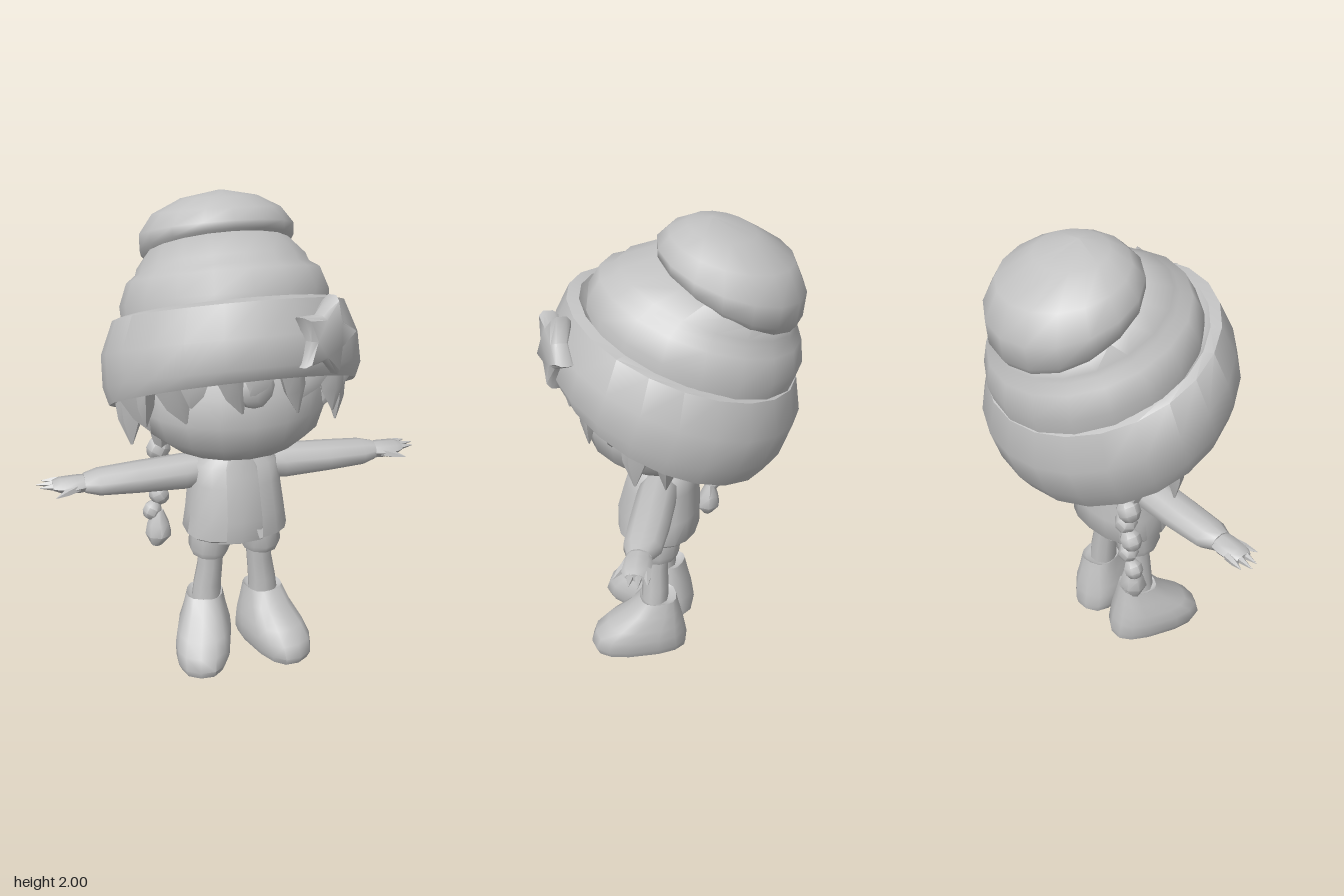
import * as THREE from 'three';
import { toCreasedNormals } from 'three/addons/utils/BufferGeometryUtils.js';

const V = (x, y, z) => new THREE.Vector3(x, y, z);

// Skin through rings {c, u, v}: centre and two half axes, with u x v along the path.
function loft(rings, n = 14, { start = 0, sweep = Math.PI * 2, caps = true, power = 1 } = {}) {
  const pos = [], idx = [];
  const closed = sweep > 6.28;
  const cols = closed ? n : n + 1;
  const round = (t) => Math.sign(t) * Math.abs(t) ** power;
  for (const { c, u, v } of rings) {
    for (let j = 0; j < cols; j++) {
      const a = start + (sweep * j) / n;
      const p = c.clone().addScaledVector(u, round(Math.cos(a))).addScaledVector(v, round(Math.sin(a)));
      pos.push(p.x, p.y, p.z);
    }
  }
  for (let i = 0; i < rings.length - 1; i++) {
    for (let j = 0; j < n; j++) {
      const k = (j + 1) % cols;
      const a = i * cols + j, b = i * cols + k, c = b + cols, d = a + cols;
      idx.push(a, b, c, a, c, d);
    }
  }
  if (caps && closed) {
    const last = rings.length - 1, m = pos.length / 3;
    for (const i of [0, last]) pos.push(...rings[i].c.toArray());
    for (let j = 0; j < n; j++) {
      const k = (j + 1) % n;
      idx.push(m, k, j, m + 1, last * cols + j, last * cols + k);
    }
  }
  const g = new THREE.BufferGeometry();
  g.setAttribute('position', new THREE.Float32BufferAttribute(pos, 3));
  g.setIndex(idx);
  return g;
}

// Ring from its front point, back point (z, y), half width and x centre.
const ring = (fz, fy, bz, by, rx, x = 0) => ({
  c: V(x, (fy + by) / 2, (fz + bz) / 2),
  u: V(0, (fy - by) / 2, (fz - bz) / 2),
  v: V(rx, 0, 0),
});
const level = (y, fz, bz, rx, x = 0) => ring(fz, y, bz, y, rx, x);
// Ring across the x axis, for arms.
const armRing = (x, y, z, ry, rz) => ({ c: V(x, y, z), u: V(0, ry, 0), v: V(0, 0, rz) });

// Tapered lock or finger between two points.
function spike(base, tip, r, sides = 5, flat = 0.6) {
  const dir = tip.clone().sub(base);
  const g = new THREE.CylinderGeometry(r * 0.08, r, dir.length(), sides, 2);
  const p = g.attributes.position;
  for (let i = 0; i < p.count; i++) {
    if (Math.abs(p.getY(i)) < 1e-4) p.setXYZ(i, p.getX(i) * 1.45, 0, p.getZ(i) * 1.45);
  }
  g.scale(1, 1, flat);
  g.applyQuaternion(new THREE.Quaternion().setFromUnitVectors(V(0, 1, 0), dir.clone().normalize()));
  const mid = base.clone().add(tip).multiplyScalar(0.5);
  return g.translate(mid.x, mid.y, mid.z);
}

function mirrored(geo) {
  const g = geo.clone().scale(-1, 1, 1);
  g.setIndex(Array.from(g.index.array).reverse());
  return g;
}

export function createModel() {
  const model = new THREE.Group();
  const clay = new THREE.MeshStandardMaterial({ color: 0xc2c2c2, side: THREE.DoubleSide });
  clay.name = 'light grey';
  const add = (name, geo, crease = 0.95) => {
    const m = new THREE.Mesh(toCreasedNormals(geo, crease), clay);
    m.name = name;
    model.add(m);
    return m;
  };
  const pair = (name, geo) => {
    add('left' + name, geo);
    add('right' + name, mirrored(geo));
  };

  // Hat: turned-up brim, folded crown and rounded top
  add('hatBrim', loft([
    ring(0.36, 1.5, -0.3, 1.12, 0.38),
    ring(0.43, 1.41, -0.36, 1.01, 0.46),
    ring(0.49, 1.41, -0.4, 0.98, 0.515),
    ring(0.52, 1.47, -0.46, 1.06, 0.535),
    ring(0.49, 1.58, -0.51, 1.2, 0.53),
    ring(0.43, 1.7, -0.49, 1.35, 0.475),
    ring(0.38, 1.7, -0.46, 1.36, 0.44),
    ring(0.35, 1.65, -0.44, 1.33, 0.41),
  ], 22));
  add('hatCrown', loft([
    ring(0.36, 1.64, -0.47, 1.3, 0.43),
    ring(0.35, 1.71, -0.51, 1.42, 0.435),
    ring(0.3, 1.79, -0.5, 1.52, 0.4),
    ring(0.25, 1.8, -0.48, 1.56, 0.36),
    ring(0.22, 1.83, -0.48, 1.58, 0.35),
    ring(0.08, 1.88, -0.46, 1.62, 0.3),
  ], 18));
  add('hatTop', loft([
    ring(0.03, 1.85, -0.46, 1.57, 0.28),
    ring(0.075, 1.89, -0.5, 1.62, 0.325),
    ring(0.075, 1.92, -0.51, 1.72, 0.325),
    ring(0.03, 1.96, -0.46, 1.84, 0.27),
    ring(-0.04, 1.99, -0.31, 1.94, 0.16),
    ring(-0.13, 2.0, -0.15, 1.998, 0.01),
  ], 16), 1.2);

  // Star ornament on the brim
  const star = new THREE.Shape();
  for (let i = 0; i < 10; i++) {
    const r = i % 2 ? 0.075 : 0.14, a = (i * Math.PI) / 5 + 0.3;
    star[i ? 'lineTo' : 'moveTo'](Math.sin(a) * r, Math.cos(a) * r);
  }
  const ornament = add('hatStar', new THREE.ExtrudeGeometry(star, {
    depth: 0.04, bevelThickness: 0.02, bevelSize: 0.015, bevelSegments: 1,
  }).translate(0, 0, -0.02));
  ornament.position.set(0.25, 1.54, 0.435);
  ornament.rotation.set(-0.12, 0.5, 0);

  // Head and neck
  add('head', loft([
    level(0.965, 0.2, -0.14, 0.17),
    level(1.0, 0.3, -0.22, 0.28),
    level(1.07, 0.365, -0.28, 0.365),
    level(1.17, 0.385, -0.32, 0.4),
    level(1.28, 0.38, -0.33, 0.39),
    level(1.42, 0.31, -0.3, 0.32),
  ], 18), 1.3);
  add('neck', loft([level(0.88, 0.11, -0.03, 0.07), level(1.0, 0.11, -0.03, 0.07)], 8));

  // Fringe and side locks hanging from under the brim
  const lengths = [0.22, 0.2, 0.17, 0.19, 0.13, 0.18, 0.12, 0.2, 0.14, 0.19, 0.17, 0.21, 0.22];
  lengths.forEach((len, i) => {
    const a = (i / (lengths.length - 1) - 0.5) * 3.5;
    const s = Math.sin(a), c = Math.cos(a);
    const base = V(0.43 * s, 1.24 + 0.2 * c, 0.05 + 0.39 * c);
    const tip = V(0.39 * s + (i % 2 ? 0.05 : -0.04), base.y - len, 0.06 + 0.37 * c);
    add('hairLock', spike(base, tip, 0.068));
  });
  add('foreheadCurl', new THREE.SphereGeometry(0.08, 8, 6).scale(1, 1.1, 0.6).translate(-0.01, 1.35, 0.4));
  for (let i = 0; i < 5; i++) {
    const x = (i - 2) * 0.1;
    add('napeLock', spike(V(x, 1.08, -0.22), V(x * 0.7 - 0.02, 0.92 + 0.02 * (i % 2), -0.17), 0.06));
  }

  // Braid hanging on the right side
  add('braidRoot', spike(V(-0.3, 1.1, -0.08), V(-0.27, 0.83, -0.13), 0.05, 6, 1));
  for (let i = 0; i < 5; i++) {
    add('braidKnot', new THREE.SphereGeometry(0.06 - i * 0.003, 7, 5).scale(0.9, 1, 0.85)
      .rotateZ(i % 2 ? 0.5 : -0.5)
      .translate(-0.275 - 0.009 * i + (i % 2 ? 0.012 : -0.012), 0.9 - i * 0.075, -0.13));
  }
  add('braidTail', loft([
    level(0.435, -0.09, -0.13, 0.025, -0.31),
    level(0.49, -0.05, -0.17, 0.06, -0.3),
    level(0.54, -0.07, -0.16, 0.05, -0.3),
    level(0.6, -0.1, -0.14, 0.025, -0.3),
  ], 7));

  // Shirt and open jacket
  add('shirt', loft([
    level(0.56, 0.2, -0.07, 0.17), level(0.66, 0.21, -0.075, 0.17),
    level(0.85, 0.17, -0.06, 0.15), level(0.95, 0.14, -0.04, 0.1),
  ], 14, { power: 0.8 }));
  const gap = 0.28;
  add('jacket', loft([
    level(0.62, 0.2, -0.07, 0.18),
    level(0.58, 0.22, -0.085, 0.205),
    level(0.6, 0.25, -0.105, 0.225),
    level(0.7, 0.25, -0.105, 0.21),
    level(0.83, 0.215, -0.1, 0.195),
    level(0.91, 0.19, -0.095, 0.185),
    level(0.955, 0.16, -0.06, 0.13),
  ], 16, { start: gap, sweep: Math.PI * 2 - gap * 2, power: 0.8 }));
  add('collar', loft([
    level(0.91, 0.16, -0.08, 0.14), level(0.97, 0.17, -0.1, 0.15), level(0.98, 0.12, -0.05, 0.1),
  ], 14, { start: 0.5, sweep: Math.PI * 2 - 1 }));

  // Sleeves, hands and fingers
  pair('Arm', loft([
    armRing(0.13, 0.865, 0.05, 0.07, 0.075),
    armRing(0.22, 0.862, 0.05, 0.075, 0.085),
    armRing(0.42, 0.86, 0.05, 0.064, 0.085),
    armRing(0.58, 0.86, 0.052, 0.054, 0.078),
    armRing(0.64, 0.862, 0.055, 0.04, 0.05),
  ], 10));
  pair('Hand', loft([
    armRing(0.6, 0.862, 0.055, 0.034, 0.042),
    armRing(0.67, 0.862, 0.055, 0.034, 0.058),
    armRing(0.74, 0.864, 0.052, 0.028, 0.055),
    armRing(0.77, 0.865, 0.05, 0.016, 0.04),
  ], 8));
  for (const [z, tip, x] of [[0.01, -0.005, 0.81], [0.04, 0.03, 0.835], [0.07, 0.065, 0.825]]) {
    pair('Finger', spike(V(0.72, 0.865, z), V(x, 0.866, tip), 0.018, 5, 1));
  }
  pair('Thumb', spike(V(0.67, 0.86, 0.09), V(0.765, 0.845, 0.135), 0.02, 5, 1));

  // Shorts
  add('shortsWaist', loft([level(0.54, 0.17, -0.03, 0.13), level(0.63, 0.19, -0.06, 0.18)], 12));
  pair('ShortsLeg', loft([
    level(0.5, 0.14, 0.0, 0.06, 0.115),
    level(0.48, 0.17, -0.02, 0.08, 0.115),
    level(0.51, 0.185, -0.03, 0.09, 0.115),
    level(0.6, 0.18, -0.04, 0.095, 0.1),
  ], 10));

  // Legs
  pair('Leg', loft([
    level(0.2, 0.14, 0.015, 0.068, 0.135),
    level(0.32, 0.135, 0.015, 0.062, 0.125),
    level(0.42, 0.135, 0.02, 0.056, 0.112),
    level(0.53, 0.14, 0.015, 0.056, 0.105),
  ], 9));

  // Shoes, toes turned outward
  pair('Shoe', loft([
    level(0.0, 0.29, -0.13, 0.105),
    level(0.035, 0.305, -0.135, 0.12),
    level(0.09, 0.285, -0.125, 0.122),
    level(0.14, 0.23, -0.115, 0.115),
    level(0.2, 0.14, -0.1, 0.095),
    level(0.265, 0.08, -0.085, 0.08),
    level(0.25, 0.06, -0.065, 0.065),
  ], 14, { power: 0.75 }).rotateY(0.3).translate(0.135, 0.003, 0.065));

  return model;
}
